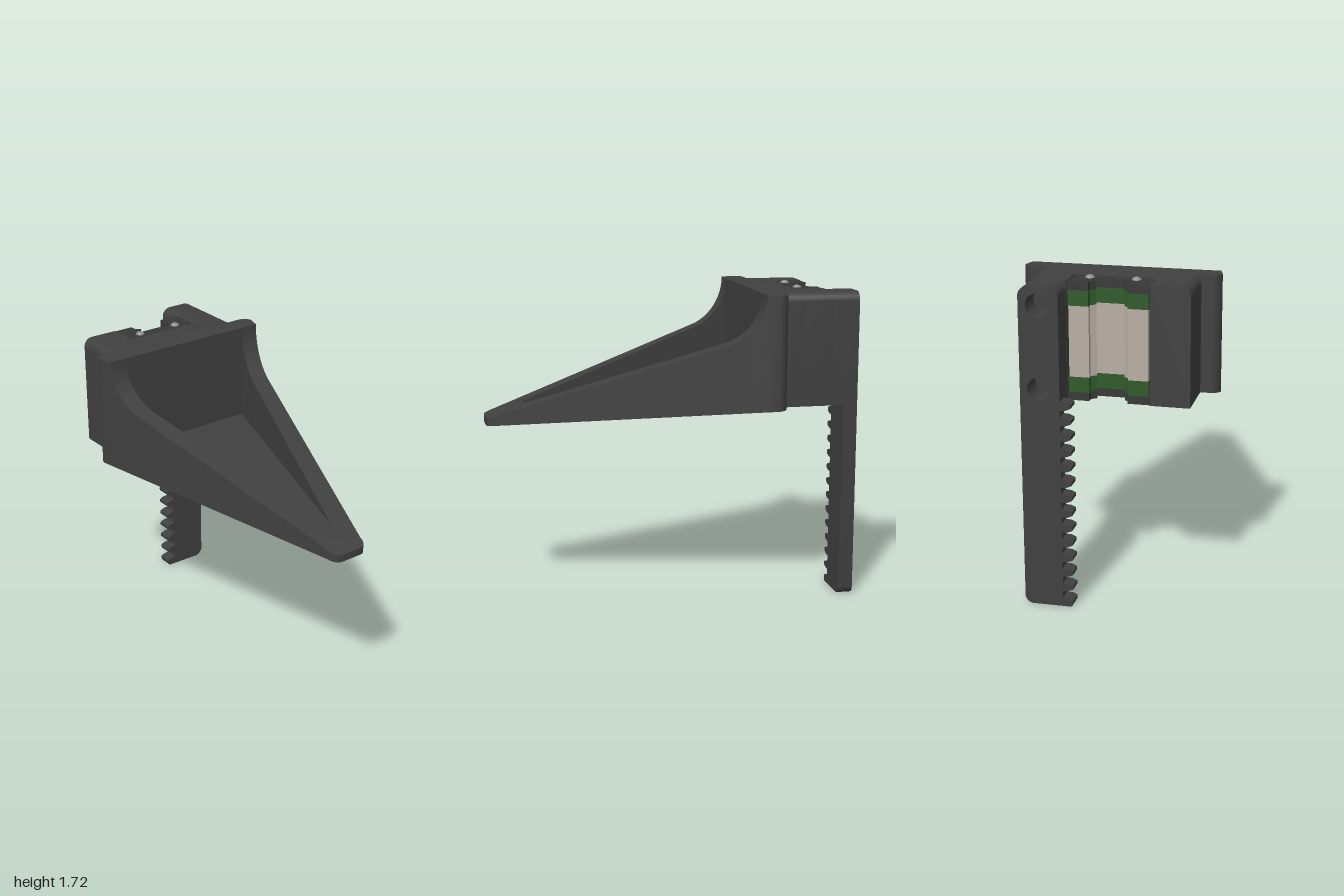
import * as THREE from 'three';
import { toCreasedNormals } from 'three/addons/utils/BufferGeometryUtils.js';

const mat = (color) => new THREE.MeshStandardMaterial({ color });
const dark = mat(0x404040), cap = mat(0x383838), green = mat(0x2f5a2a), steel = mat(0xb8aea4), screwMat = mat(0x8c8c8c);
const BOTTOM = 1.085, TOP = 1.705;

function add(group, name, geometry, material) {
  const mesh = new THREE.Mesh(geometry, material);
  mesh.name = name;
  group.add(mesh);
  return mesh;
}

// Shape drawn in (-z, y), extruded from x0 to x1
function extrudeX(shape, x0, x1) {
  const g = new THREE.ExtrudeGeometry(shape, { depth: x1 - x0, bevelEnabled: false, curveSegments: 10 });
  g.rotateY(Math.PI / 2).translate(x0, 0, 0);
  return toCreasedNormals(g, 0.6);
}

// Shape drawn in (x, -z), extruded from y0 to y1
function extrudeY(shape, y0, y1) {
  const g = new THREE.ExtrudeGeometry(shape, { depth: y1 - y0, bevelEnabled: false, curveSegments: 8 });
  g.rotateX(-Math.PI / 2).translate(0, y0, 0);
  return g;
}

// Upright block section with optional rounded top corners
function blockShape(u0, u1, r0, r1) {
  const s = new THREE.Shape();
  s.moveTo(u0, BOTTOM);
  s.lineTo(u1, BOTTOM);
  s.lineTo(u1, TOP - r1);
  if (r1) s.absarc(u1 - r1, TOP - r1, r1, 0, Math.PI / 2);
  s.lineTo(u0 + r0, TOP);
  if (r0) s.absarc(u0 + r0, TOP - r0, r0, Math.PI / 2, Math.PI);
  s.closePath();
  return s;
}

function addBoltHoles(shape) {
  for (const y of [1.18, 1.61]) {
    const hole = new THREE.Path();
    hole.absarc(0.32, y, 0.062, 0, Math.PI * 2, true);
    shape.holes.push(hole);
  }
  return shape;
}

// Toothed rack that runs up into the arm
function rackShape() {
  const s = new THREE.Shape(), r = 0.05, pitch = 0.0825;
  s.moveTo(0.17, 0);
  s.lineTo(0.38, 0);
  s.absarc(0.375, 0.045, 0.045, -Math.PI / 2, 0);
  s.lineTo(0.42, TOP - r);
  s.absarc(0.42 - r, TOP - r, r, 0, Math.PI / 2);
  s.lineTo(0.215 + r, TOP);
  s.absarc(0.215 + r, TOP - r, r, Math.PI / 2, Math.PI);
  for (let k = 13; k >= 0; k--) {
    const y = 0.025 + k * pitch;
    s.lineTo(0.215, y + 0.022);
    s.lineTo(0.185, y + 0.02);
    s.lineTo(0.16, y + 0.009);
    s.lineTo(0.16, y - 0.009);
    if (k > 0) {
      s.lineTo(0.185, y - 0.02);
      s.lineTo(0.215, y - 0.022);
    }
  }
  s.closePath();
  return s;
}

// Hollow pointed scoop: U-shaped sections lofted along x
function scoopGeometry() {
  const R = 0.287, arcEnd = -0.264;
  const top = (x) => {
    if (x <= -0.46) return TOP;
    if (x < arcEnd) return TOP - Math.sqrt(Math.max(0, R * R - (x + 0.46 - R) ** 2));
    return 1.02 + (1 - x) * 0.327;
  };
  const halfWidth = (x) => {
    if (x < -0.53) return 0.47 + Math.sqrt(Math.max(0, 0.05 ** 2 - (x + 0.53) ** 2));
    if (x > 0.94) return 0.06 + 0.05 * Math.sqrt(Math.max(0, 1 - ((x - 0.94) / 0.06) ** 2));
    return 0.52 - (x + 0.53) * 0.279;
  };
  const stations = [];
  const put = (x, hollow) => {
    const b = BOTTOM - (x + 0.58) * 0.0665, t = top(x), w = halfWidth(x);
    const wi = THREE.MathUtils.clamp(0.4 - (x + 0.46) * 0.296, 0.03, 0.4);
    const f = hollow ? Math.min(t, b + 0.088) : t;
    stations.push([[b, -w], [b, w], [t, w], [t, wi], [f, wi], [f, -wi], [t, -wi], [t, -w]]
      .map(([y, z]) => [x, y, z]));
  };
  for (let i = 0; i <= 6; i++) put(-0.53 - 0.05 * Math.cos(i / 6 * Math.PI / 2), false);
  put(-0.46, false);
  for (let i = 0; i <= 14; i++) { // concave sweep at the rim
    const a = i / 14 * 1.255;
    put(i === 14 ? arcEnd : -0.46 + R - R * Math.cos(a), true);
  }
  put(0.79, true);
  put(0.79, false);
  for (let i = 0; i <= 6; i++) put(0.94 + 0.06 * Math.sin(i / 6 * Math.PI / 2), false);

  const pos = [];
  const quad = (a, b, c, d) => pos.push(...a, ...b, ...c, ...a, ...c, ...d);
  for (let i = 0; i < stations.length - 1; i++) {
    const p = stations[i], q = stations[i + 1];
    for (let j = 0; j < 8; j++) {
      const k = (j + 1) % 8;
      quad(p[j], q[j], q[k], p[k]);
    }
  }
  const first = stations[0], last = stations[stations.length - 1];
  quad(first[0], first[1], first[2], first[7]);
  quad(last[7], last[2], last[1], last[0]);
  const g = new THREE.BufferGeometry();
  g.setAttribute('position', new THREE.Float32BufferAttribute(pos, 3));
  return toCreasedNormals(g, 0.5);
}

// Bearing carriage section: a C with a small ridge on each inner side
function carriageShape(inset) {
  const x0 = -0.855 + inset, w = 0.21 - inset;
  const side = [[x0, 0.1], [-0.82, 0.1], [-0.8, 0.072], [-0.785, 0.1], [-0.76, 0.1]];
  const pts = [[x0, -w], [-0.72, -w], [-0.7, -w + 0.02], [-0.7, w - 0.02], [-0.72, w], [x0, w],
    ...side, ...side.map(([x, z]) => [x, -z]).reverse()];
  const s = new THREE.Shape(pts.map(([x, z]) => new THREE.Vector2(x, z)));
  const hole = new THREE.Path();
  hole.absarc(-0.73, 0, 0.008, 0, Math.PI * 2, true);
  s.holes.push(hole);
  return s;
}

function carriage() {
  const g = new THREE.Group();
  g.name = 'bearingCarriage';
  const layers = [
    ['lowerEndCap', 1.088, 1.13, 0, cap], ['lowerSeal', 1.13, 1.21, 0.003, green],
    ['steelBody', 1.21, 1.58, 0.006, steel],
    ['upperSeal', 1.58, 1.66, 0.003, green], ['upperEndCap', 1.66, 1.702, 0, cap],
  ];
  for (const [name, y0, y1, inset, m] of layers) add(g, name, extrudeY(carriageShape(inset), y0, y1), m);
  // Domed screws at both ends
  for (const y of [1.09, 1.7]) for (const z of [-0.12, 0.12]) {
    const screw = add(g, 'screw', new THREE.SphereGeometry(0.025, 16, 10), screwMat);
    screw.scale.y = 0.7;
    screw.position.set(-0.735, y, z);
  }
  const plate = add(g, 'backingPlate', new THREE.BoxGeometry(0.01, 0.6, 0.41), steel);
  plate.position.set(-0.695, 1.395, 0);
  return g;
}

export function createModel() {
  const model = new THREE.Group();
  model.name = 'gripperFinger';
  add(model, 'scoop', scoopGeometry(), dark);

  // Mounting block with a slot for the carriage
  add(model, 'mountBlock', extrudeX(blockShape(-0.42, 0.42, 0.05, 0.05), -0.69, -0.57), dark);
  add(model, 'leftWing', extrudeX(blockShape(-0.42, -0.213, 0.05, 0), -0.855, -0.69), dark);
  add(model, 'rightWing', extrudeX(blockShape(0.213, 0.42, 0, 0.05), -0.855, -0.69), dark);

  // Drilled arm and the rack at its end
  add(model, 'arm', extrudeX(addBoltHoles(blockShape(0.215, 0.42, 0.05, 0.05)), -0.92, -0.855), dark);
  add(model, 'rack', extrudeX(addBoltHoles(rackShape()), -1, -0.92), dark);

  model.add(carriage());
  return model;
}
